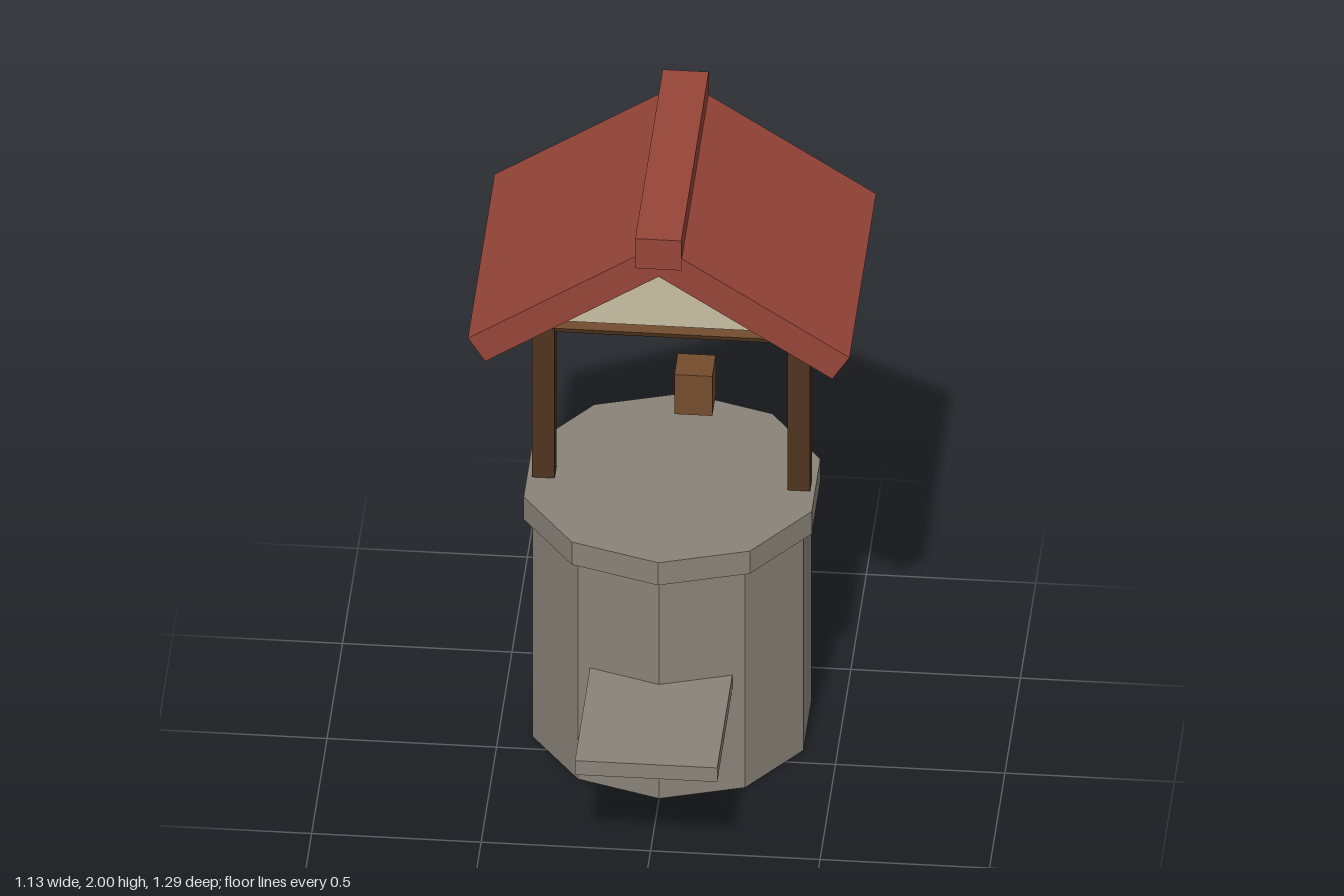
import * as THREE from 'three';

const CZ = -0.195; // centre of the well along z

function material(name, color) {
  const m = new THREE.MeshStandardMaterial({ color, flatShading: true });
  m.name = name;
  return m;
}

export function createModel() {
  const stone = material('stone', 0x8a8379);
  const roofRed = material('roof red', 0x964538);
  const cream = material('cream plaster', 0xc8bea4);
  const darkWood = material('dark wood', 0x50341f);
  const lightWood = material('light wood', 0x754c2c);

  const group = new THREE.Group();
  group.name = 'well';

  const add = (name, geometry, mat, x, y, z) => {
    const mesh = new THREE.Mesh(geometry, mat);
    mesh.name = name;
    mesh.position.set(x, y, z);
    group.add(mesh);
    return mesh;
  };
  const box = (name, mat, w, h, d, x, y, z) =>
    add(name, new THREE.BoxGeometry(w, h, d), mat, x, y, z);
  // Extrudes an x-y outline along z, centred on z
  const prism = (name, mat, points, depth, z) => {
    const shape = new THREE.Shape(points.map(([x, y]) => new THREE.Vector2(x, y)));
    const geometry = new THREE.ExtrudeGeometry(shape, { depth, bevelEnabled: false });
    return add(name, geometry, mat, 0, 0, z - depth / 2);
  };

  // Ten-sided stone shaft with a wider rim, and the front shelf
  add('wellBody', new THREE.CylinderGeometry(0.42, 0.42, 0.78, 10), stone, 0, 0.39, CZ);
  add('wellRim', new THREE.CylinderGeometry(0.447, 0.447, 0.08, 10), stone, 0, 0.815, CZ);
  box('shelf', stone, 0.42, 0.05, 0.52, 0, 0.38, 0.385);

  // Posts reach into the roof
  for (const side of [-1, 1]) {
    box(side > 0 ? 'leftPost' : 'rightPost', darkWood, 0.067, 0.79, 0.067, side * 0.377, 1.245, CZ);
  }

  // Winding bar and bucket
  const bar = new THREE.CylinderGeometry(0.04, 0.04, 0.84, 7);
  bar.rotateX(-Math.PI / 2).rotateY(Math.PI / 2);
  add('windingBar', bar, lightWood, 0, 1.4, CZ);
  box('bucket', lightWood, 0.112, 0.14, 0.112, 0.068, 1.19, CZ);

  // Pitched roof and ridge beam
  prism('roof', roofRed, [
    [0, 1.86], [0.512, 1.528], [0.563, 1.607],
    [0, 1.972], [-0.563, 1.607], [-0.512, 1.528],
  ], 0.863, CZ);
  box('ridgeBeam', roofRed, 0.136, 0.105, 0.89, 0, 1.9475, CZ);

  // Gable panels, set back from both roof ends
  for (const end of [-1, 1]) {
    prism(end > 0 ? 'frontGable' : 'backGable', cream,
      [[-0.355, 1.64], [0.355, 1.64], [0, 1.87]], 0.06, CZ + end * 0.335);
  }

  return group;
}
